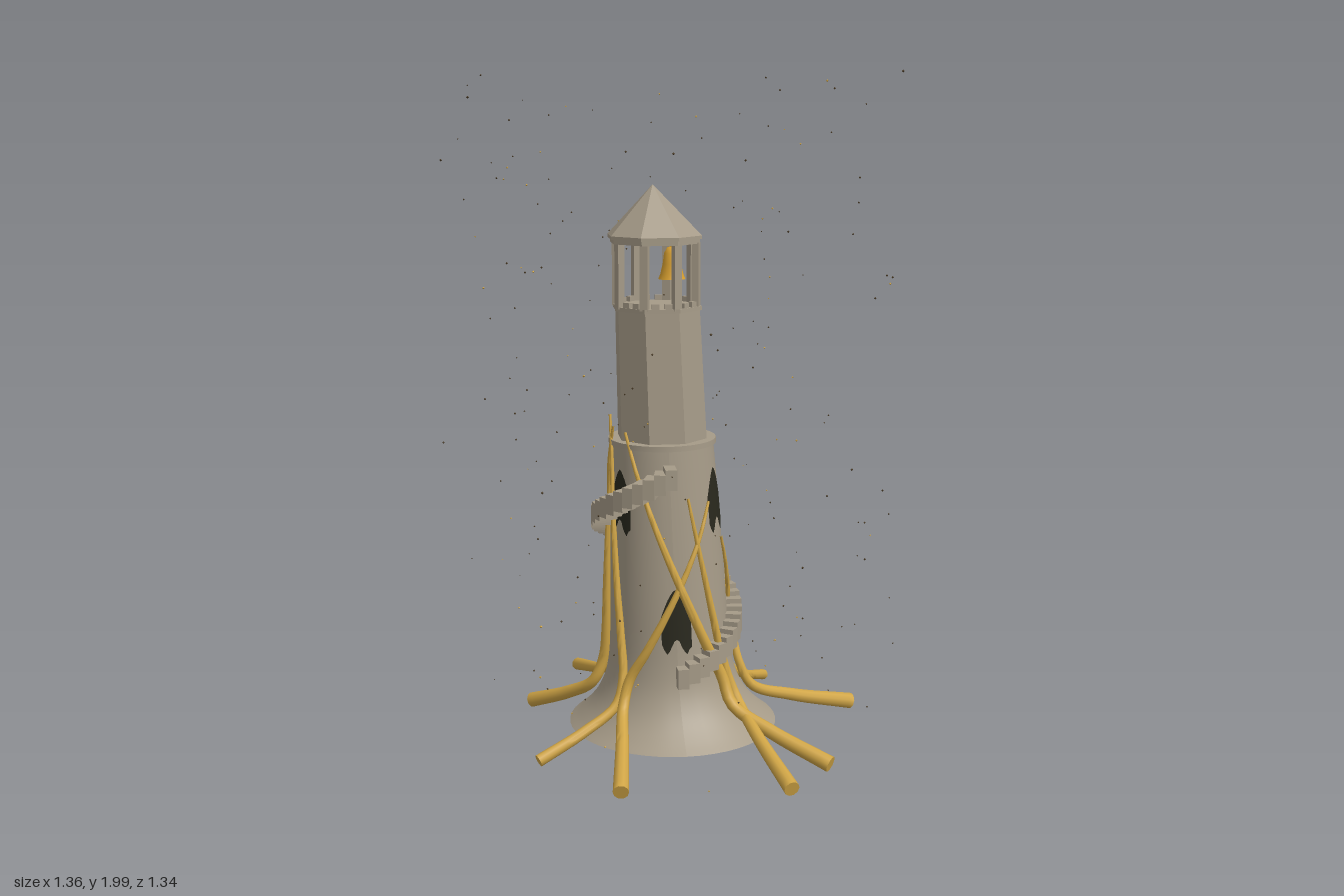
import * as THREE from 'three';
import { mergeGeometries, toCreasedNormals } from 'three/addons/utils/BufferGeometryUtils.js';

const mat = (name, color, extra = {}) => {
  const m = new THREE.MeshStandardMaterial({ color, ...extra });
  m.name = name;
  return m;
};

// The whole tower leans slightly towards -x
const leanX = y => -0.0095 - 0.036 * (y - 0.05);
const rad = THREE.MathUtils.degToRad;
// Point at an azimuth (0 = front, 90 = +x) around the leaning axis
const around = (deg, r, y) =>
  new THREE.Vector3(leanX(y) + r * Math.sin(rad(deg)), y, r * Math.cos(rad(deg)));

function eachVertex(geo, rule) {
  const p = geo.attributes.position, v = new THREE.Vector3();
  for (let i = 0; i < p.count; i++) {
    rule(v.fromBufferAttribute(p, i));
    p.setXYZ(i, v.x, v.y, v.z);
  }
  geo.computeVertexNormals();
  return geo;
}
const lean = geo => eachVertex(geo, v => { v.x += leanX(v.y); });

// Lower tower profile as [radius, height]
const PROFILE = [[0.316, 0.05], [0.285, 0.075], [0.25, 0.11], [0.222, 0.15], [0.2, 0.2],
  [0.187, 0.26], [0.18, 0.34], [0.174, 0.48], [0.164, 0.7], [0.152, 0.925]];
function towerRadius(y) {
  for (let i = 1; i < PROFILE.length; i++) {
    const [r0, y0] = PROFILE[i - 1], [r1, y1] = PROFILE[i];
    if (y <= y1) return r0 + (r1 - r0) * Math.max(0, (y - y0) / (y1 - y0));
  }
  return 0.152;
}

// Tapered tube with a flat cap at the thick end
function taperedTube(points, r0, r1) {
  const curve = new THREE.CatmullRomCurve3(points, false, 'centripetal');
  const n = 48, sides = 10;
  const geo = new THREE.TubeGeometry(curve, n, 1, sides, false);
  const p = geo.attributes.position, v = new THREE.Vector3();
  for (let i = 0; i <= n; i++) {
    const ringCentre = curve.getPointAt(i / n);
    const t = Math.max(0, i - 1) / (n - 1);
    const target = curve.getPointAt(t);
    const r = i === 0 ? 0 : r0 + (r1 - r0) * t;
    for (let j = 0; j <= sides; j++) {
      const k = i * (sides + 1) + j;
      v.fromBufferAttribute(p, k).sub(ringCentre).multiplyScalar(r).add(target);
      p.setXYZ(k, v.x, v.y, v.z);
    }
  }
  return toCreasedNormals(geo, 0.9);
}

// Pointed opening with a ragged foot, wrapped around the tower wall
function windowPlate(deg, y0) {
  const geo = new THREE.PlaneGeometry(1, 1, 12, 8);
  return eachVertex(geo, v => {
    const u = v.x * 2, h = v.y + 0.5;
    const top = y0 + 0.195 - 0.085 * Math.pow(Math.abs(u), 1.5);
    const ragged = [0.03, 0.012, 0, 0.01, 0.025, 0.04, 0.045, 0.04, 0.02, 0.008, 0, 0.015, 0.02];
    const bottom = y0 + ragged[Math.round((v.x + 0.5) * 12)];
    const y = bottom + (top - bottom) * h;
    const r = towerRadius(y) + 0.003;
    v.copy(around(deg + THREE.MathUtils.radToDeg(u * 0.045 / r), r, y));
  });
}

export function createModel() {
  const model = new THREE.Group();
  const stone = mat('stone', 0xa69b88, { side: THREE.DoubleSide });
  const facet = mat('faceted stone', 0xa69b88, { flatShading: true });
  const wood = mat('golden root', 0xd0a546);
  const gold = mat('bell gold', 0xd8a030, { side: THREE.DoubleSide });
  const dark = mat('dark opening', 0x29281d, { side: THREE.DoubleSide });
  const moteDark = mat('dark mote', 0x4a3b26);
  const add = (name, geo, material, parent = model) => {
    const m = new THREE.Mesh(geo, material);
    m.name = name;
    parent.add(m);
    return m;
  };
  const group = name => {
    const g = new THREE.Group();
    g.name = name;
    model.add(g);
    return g;
  };
  // Octagonal drum with a flat side facing the front
  const octagon = (rTop, rBottom, y0, y1) => lean(
    new THREE.CylinderGeometry(rTop, rBottom, y1 - y0, 8).rotateY(Math.PI / 8).translate(0, (y0 + y1) / 2, 0));

  // Lower tower with flared, open foot
  const profile = new THREE.SplineCurve(PROFILE.map(p => new THREE.Vector2(...p))).getPoints(40);
  add('lowerTower', lean(new THREE.LatheGeometry(profile, 48)), stone);
  add('ledge', toCreasedNormals(lean(
    new THREE.CylinderGeometry(0.16, 0.16, 0.016, 48).translate(0, 0.928, 0)), 0.6), stone);

  // Upper tower and lantern room
  add('upperTower', octagon(0.129, 0.137, 0.93, 1.325), facet);
  const lantern = group('lantern');
  add('lanternFloor', octagon(0.135, 0.135, 1.318, 1.33), facet, lantern);
  add('lanternLintel', octagon(0.136, 0.136, 1.512, 1.53), facet, lantern);
  for (let i = 0; i < 8; i++) {
    const corner = 22.5 + i * 45;
    const post = add('lanternPost', new THREE.BoxGeometry(0.024, 0.19, 0.02), facet, lantern);
    post.position.copy(around(corner, 0.121, 1.42));
    post.rotation.y = rad(corner);
    for (const side of [-1, 1]) {
      const a = i * 45 + side * 9;
      const block = add('parapetBlock', new THREE.BoxGeometry(0.022, 0.02, 0.014), facet, lantern);
      block.position.copy(around(a, 0.117, 1.335));
      block.rotation.y = rad(i * 45);
    }
  }
  add('roofEave', octagon(0.143, 0.143, 1.525, 1.535), facet);
  add('roof', octagon(0, 0.143, 1.535, 1.68), facet);

  // Hanging bell
  const bellProfile = [[0.04, 0], [0.034, 0.015], [0.027, 0.045], [0.023, 0.075], [0.014, 0.092], [0, 0.096]]
    .map(p => new THREE.Vector2(...p));
  const bell = group('bell');
  bell.position.set(-0.012, 1.405, 0);
  add('bellBody', new THREE.LatheGeometry(bellProfile, 20), gold, bell);
  add('bellHanger', new THREE.CylinderGeometry(0.005, 0.005, 0.03, 8).translate(0, 0.105, 0), gold, bell);

  // Windows: three low, three high, staggered
  for (let i = 0; i < 3; i++) {
    add('lowerWindow', windowPlate(i * 120, 0.315), dark);
    add('upperWindow', windowPlate(i * 120 + 60, 0.66), dark);
  }

  // Spiral stair, one full turn
  const stair = group('spiralStair');
  const STEPS = 42;
  for (let i = 0; i < STEPS; i++) {
    const t = i / (STEPS - 1), y = 0.25 + 0.6 * t, deg = 3 + t * 356;
    const inner = towerRadius(y) - 0.01;
    const step = add('step', new THREE.BoxGeometry(0.034, 0.06, 0.222 - inner), facet, stair);
    step.position.copy(around(deg, (0.222 + inner) / 2, y));
    step.rotation.y = rad(deg);
  }

  // Roots: foot x, foot z, azimuth at the wall, azimuth at the tip, tip height, thickness
  const roots = group('roots');
  [[-0.26, -0.57, 215, 235, 0.62, 0.021], [0.18, -0.43, 172, 287, 0.98, 0.017],
    [0.345, -0.385, 120, 68, 0.64, 0.017], [0.575, -0.11, 84, 114, 0.58, 0.025],
    [0.4, 0.385, 40, -50, 0.97, 0.024], [0.255, 0.54, 47, 18, 0.78, 0.023],
    [-0.22, 0.5, -43, 45, 0.76, 0.023], [-0.435, 0.25, -50, -82, 1.01, 0.018],
    [-0.43, -0.25, 254, 275, 0.86, 0.023],
  ].forEach(([x, z, a0, a1, tipY, r]) => {
    const foot = new THREE.Vector3(x, 0.033, z);
    const bend = around(a0, 0.245, 0.155);
    const pts = [foot, foot.clone().lerp(bend, 0.6).setY(0.095), bend];
    for (let i = 0; i <= 6; i++) {
      const t = i / 6, y = 0.23 + (tipY - 0.23) * t;
      pts.push(around(a0 + (a1 - a0) * t, towerRadius(y) + 0.012 * (1 - t) + 0.004, y));
    }
    add('root', taperedTube(pts, r, 0.004), wood, roots);
  });

  // Drifting motes in the air around the tower
  let seed = 7;
  const rnd = () => (seed = (seed * 16807) % 2147483647) / 2147483647;
  const motes = [[], []];
  for (let i = 0; i < 220; i++) {
    const a = rnd() * Math.PI * 2, r = 0.25 + 0.46 * rnd(), s = 0.002 + 0.002 * rnd();
    motes[i % 4 ? 0 : 1].push(new THREE.OctahedronGeometry(s)
      .translate(r * Math.sin(a), 0.1 + 1.896 * (i / 219), r * Math.cos(a)));
  }
  add('darkMotes', mergeGeometries(motes[0]), moteDark);
  add('goldMotes', mergeGeometries(motes[1]), wood);
  return model;
}
